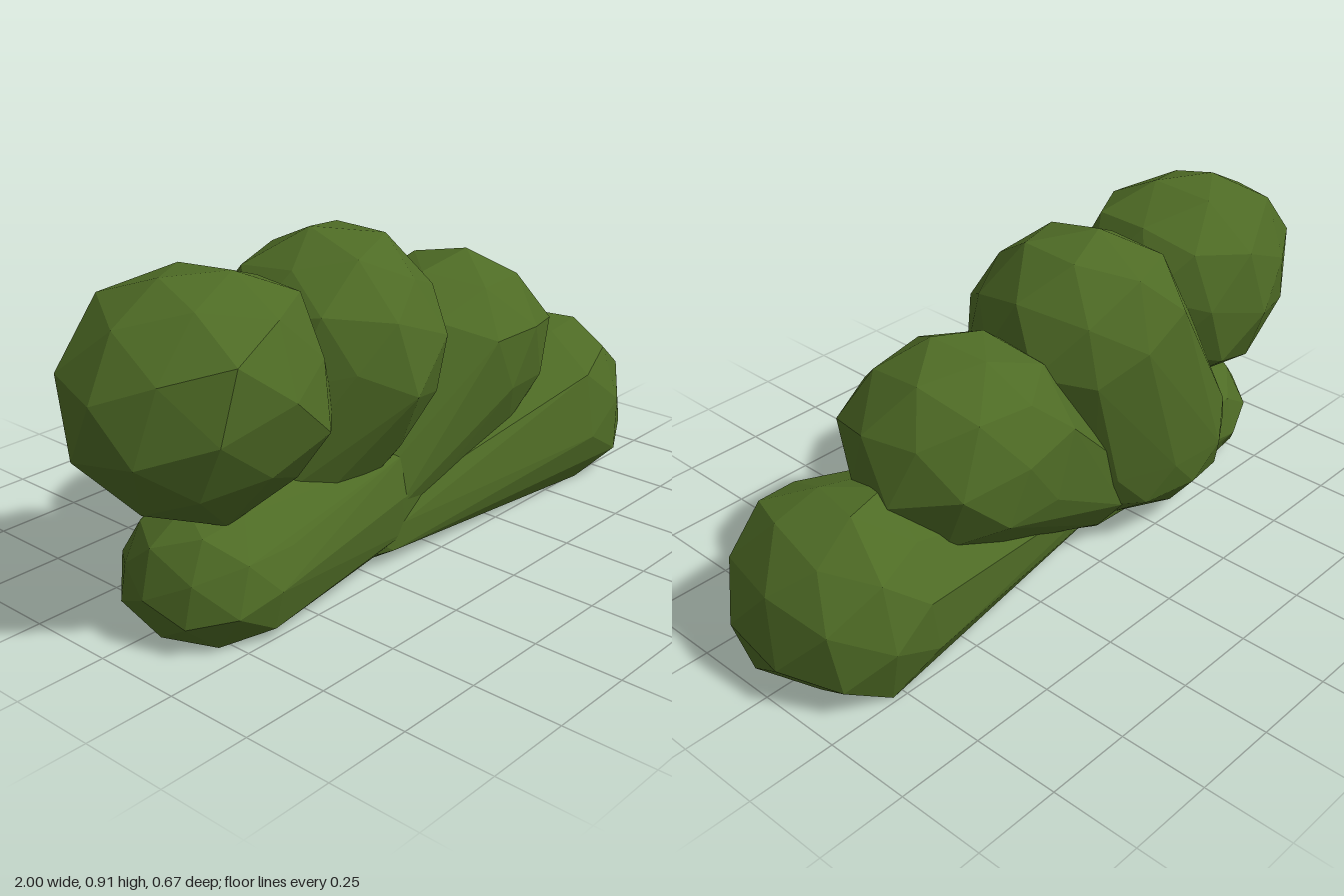
import * as THREE from 'three';
import { ConvexGeometry } from 'three/addons/geometries/ConvexGeometry.js';
import { mergeVertices } from 'three/addons/utils/BufferGeometryUtils.js';

// small seeded generator for the uneven facets
function seeded(seed) {
  return () => {
    seed = (seed * 16807) % 2147483647;
    return seed / 2147483647;
  };
}

// irregular rounded points filling the box [min, max], cut flat at the ground
function blobPoints(min, max, random) {
  const ball = new THREE.IcosahedronGeometry(1, 1);
  ball.deleteAttribute('normal');
  ball.deleteAttribute('uv');
  const positions = mergeVertices(ball, 1e-3).getAttribute('position');
  const turn = new THREE.Euler(random() * 3, random() * 3, random() * 3);
  const points = [];
  for (let i = 0; i < positions.count; i++) {
    const p = new THREE.Vector3().fromBufferAttribute(positions, i);
    points.push(p.applyEuler(turn).multiplyScalar(0.93 + random() * 0.12));
  }
  const bounds = new THREE.Box3().setFromPoints(points);
  const low = new THREE.Vector3(...min);
  const span = new THREE.Vector3(...max).sub(low);
  const size = bounds.getSize(new THREE.Vector3());
  for (const p of points) {
    p.sub(bounds.min).divide(size).multiply(span).add(low);
    p.y = Math.max(0, p.y);
  }
  return points;
}

export function createModel() {
  const group = new THREE.Group();
  group.name = 'bush';
  const leafGreen = new THREE.MeshStandardMaterial({ color: 0x4e6b25, flatShading: true });
  leafGreen.name = 'leafGreen';

  // each lobe is the hull of a large end and, where it tapers, a smaller root
  const lobes = [
    { name: 'upperLeftLobe', seed: 11, blobs: [
      [[-1, 0.27, -0.3], [-0.31, 0.9, 0.315]],
    ] },
    { name: 'upperMiddleLobe', seed: 29, blobs: [
      [[-0.46, 0.28, -0.31], [0.145, 0.91, 0.33]],
      [[-0.62, 0.03, -0.335], [0.02, 0.42, 0.12]],
    ] },
    { name: 'rightLobe', seed: 47, blobs: [
      [[0, 0.17, -0.295], [0.63, 0.755, 0.285]],
      [[-0.36, 0, -0.24], [0.1, 0.3, 0.22]],
    ] },
    { name: 'lowerRightLobe', seed: 83, blobs: [
      [[0.43, -0.12, -0.28], [1, 0.455, 0.33]],
      [[-0.32, -0.03, -0.13], [0.02, 0.2, 0.22]],
    ] },
    { name: 'lowerLeftLobe', seed: 61, blobs: [
      [[-0.9, -0.08, -0.22], [-0.42, 0.32, 0.28]],
      [[-0.28, -0.05, -0.2], [0.1, 0.38, 0.23]],
    ] },
  ];

  for (const { name, seed, blobs } of lobes) {
    const random = seeded(seed * 7919);
    const points = blobs.flatMap(([min, max]) => blobPoints(min, max, random));
    const lobe = new THREE.Mesh(new ConvexGeometry(points), leafGreen);
    lobe.name = name;
    group.add(lobe);
  }
  return group;
}
